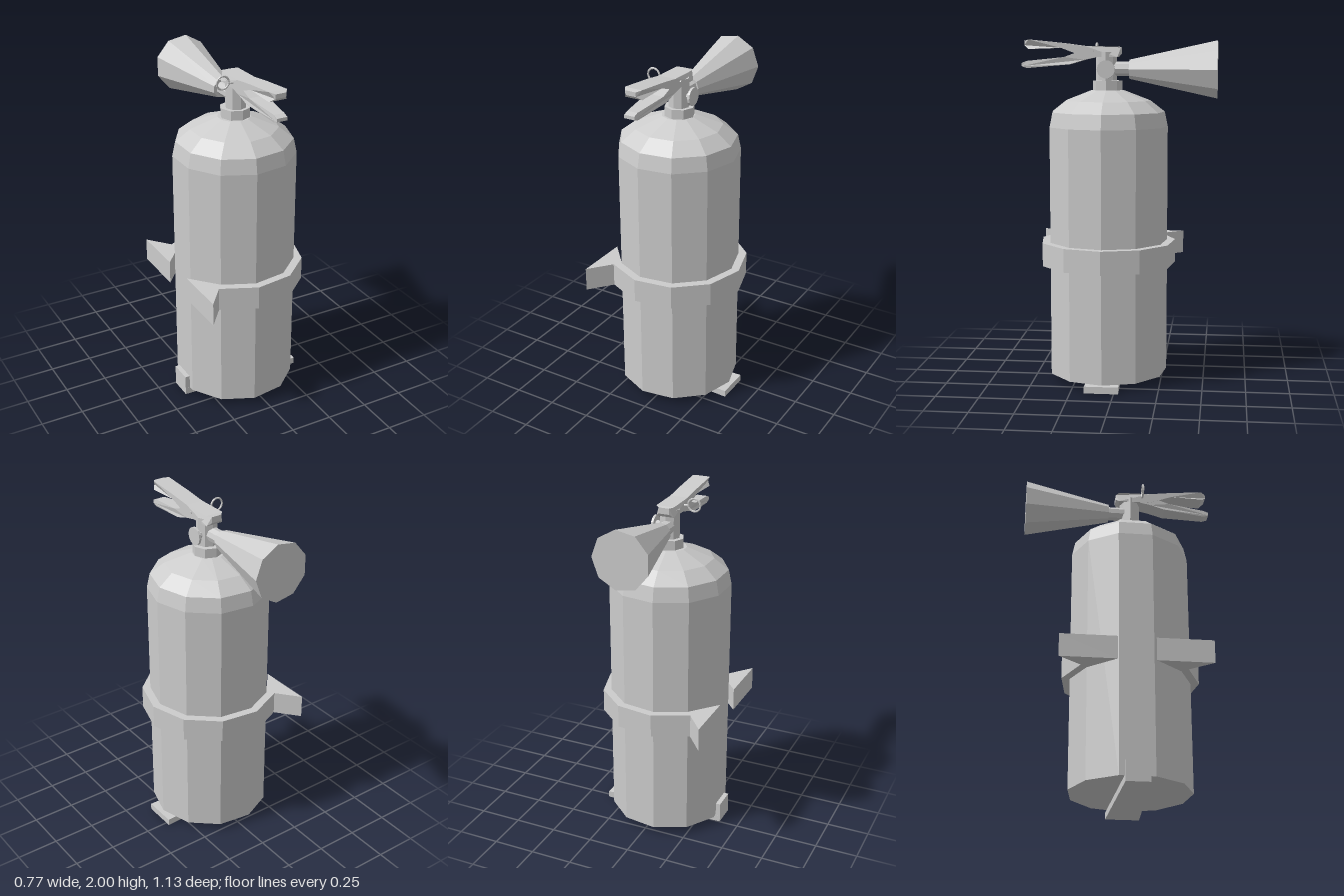
import * as THREE from 'three';

const CX = -0.017, CZ = 0.072; // axis of the tank
const SIDES = 11;

export function createModel() {
  const model = new THREE.Group();
  model.name = 'fireExtinguisher';
  const mat = new THREE.MeshStandardMaterial({ color: 0xcccccc, flatShading: true });

  const add = (name, geometry, x = 0, y = 0, z = 0) => {
    const mesh = new THREE.Mesh(geometry, mat);
    mesh.name = name;
    mesh.position.set(x, y, z);
    model.add(mesh);
    return mesh;
  };
  const shapeOf = pts => new THREE.Shape(pts.map(p => new THREE.Vector2(p[0], p[1])));
  const extrude = (pts, depth) =>
    new THREE.ExtrudeGeometry(shapeOf(pts), { depth, bevelEnabled: false });
  // Plan outline given as [x, -z], raised along y
  const slab = (pts, height) => extrude(pts, height).rotateX(-Math.PI / 2);
  // Prism along y with its first corner on +x
  const prism = (rTop, rBottom, h, n) =>
    new THREE.CylinderGeometry(rTop, rBottom, h, n).rotateY(Math.PI / 2);

  // Tank with faceted shoulder
  const profile = [[0, 0.04], [0.352, 0.04], [0.352, 1.5], [0.334, 1.585],
    [0.25, 1.65], [0.095, 1.71], [0, 1.71]].map(p => new THREE.Vector2(...p));
  add('tank', new THREE.LatheGeometry(profile, SIDES).rotateY(Math.PI / 2), CX, 0, CZ);

  // Valve
  add('collar', prism(0.086, 0.086, 0.06, 8), -0.01, 1.735, CZ);
  add('valveNeck', prism(0.06, 0.06, 0.18, 8), -0.01, 1.84, 0.078);

  // Levers: side outline as [z, y], with the ends narrowed
  const lever = (name, pts, width) => {
    const g = extrude(pts, width).rotateY(-Math.PI / 2).translate(width / 2, 0, 0);
    const p = g.attributes.position;
    for (let i = 0; i < p.count; i++) {
      if (p.getZ(i) > 0.54 || p.getZ(i) < 0) p.setX(i, p.getX(i) * 0.6);
    }
    g.computeVertexNormals();
    add(name, g, -0.012);
  };
  lever('upperLever', [[0.553, 1.968], [0.553, 1.993], [0.525, 2.0], [0.325, 1.98], [0.198, 1.963],
    [0.01, 1.96], [-0.01, 1.955], [-0.01, 1.92], [0.01, 1.9], [0.198, 1.9], [0.335, 1.952],
    [0.525, 1.946]], 0.106);
  lever('lowerLever', [[0.57, 1.847], [0.57, 1.866], [0.54, 1.878], [0.32, 1.9], [0.198, 1.945],
    [0.13, 1.93], [0.13, 1.9], [0.2, 1.885], [0.29, 1.858], [0.54, 1.836]], 0.104);

  // Hose connector and horn, pointing to the back
  add('hornConnector', prism(0.042, 0.042, 0.15, 9).rotateX(-Math.PI / 2), -0.016, 1.832, 0.005);
  add('horn', prism(0.168, 0.056, 0.509, 9).rotateX(-Math.PI / 2), -0.02, 1.83, -0.31);

  // Pressure gauge on the left of the valve
  add('gaugeStem', new THREE.CylinderGeometry(0.022, 0.022, 0.05, 8).rotateZ(-Math.PI / 2), 0.05, 1.83, 0.072);
  add('gauge', new THREE.CylinderGeometry(0.052, 0.052, 0.014, 14).rotateZ(-Math.PI / 2), 0.075, 1.83, 0.072);

  // Safety pin with pull ring
  add('pinRing', new THREE.TorusGeometry(0.037, 0.006, 6, 16), -0.128, 1.942, 0.147);
  add('safetyPin', new THREE.CylinderGeometry(0.006, 0.006, 0.14, 6).rotateZ(Math.PI / 2), -0.02, 1.935, 0.15);

  // Strap around the tank, flaring into two wall wedges
  const outer = [], inner = [];
  for (let i = -4; i <= 4; i++) {
    const a = (i / SIDES) * Math.PI * 2;
    outer.push([CX + 0.4 * Math.cos(a), -CZ + 0.4 * Math.sin(a)]);
    inner.unshift([CX + 0.351 * Math.cos(a), -CZ + 0.351 * Math.sin(a)]);
  }
  const strap = [...outer, [-0.385, 0.36], [-0.385, 0.035], ...inner, [-0.385, -0.18], [-0.385, -0.505]];
  add('wallStrap', slab(strap, 0.136), 0, 0.692, 0);

  // Foot bracket: tapered bar under the tank with an upturned end
  add('footBar', slab([[-0.385, -0.14], [0.362, -0.171], [0.362, 0.027], [-0.385, -0.004]], 0.04));
  add('footTab', new THREE.BoxGeometry(0.028, 0.122, 0.135), -0.371, 0.061, CZ);

  return model;
}
